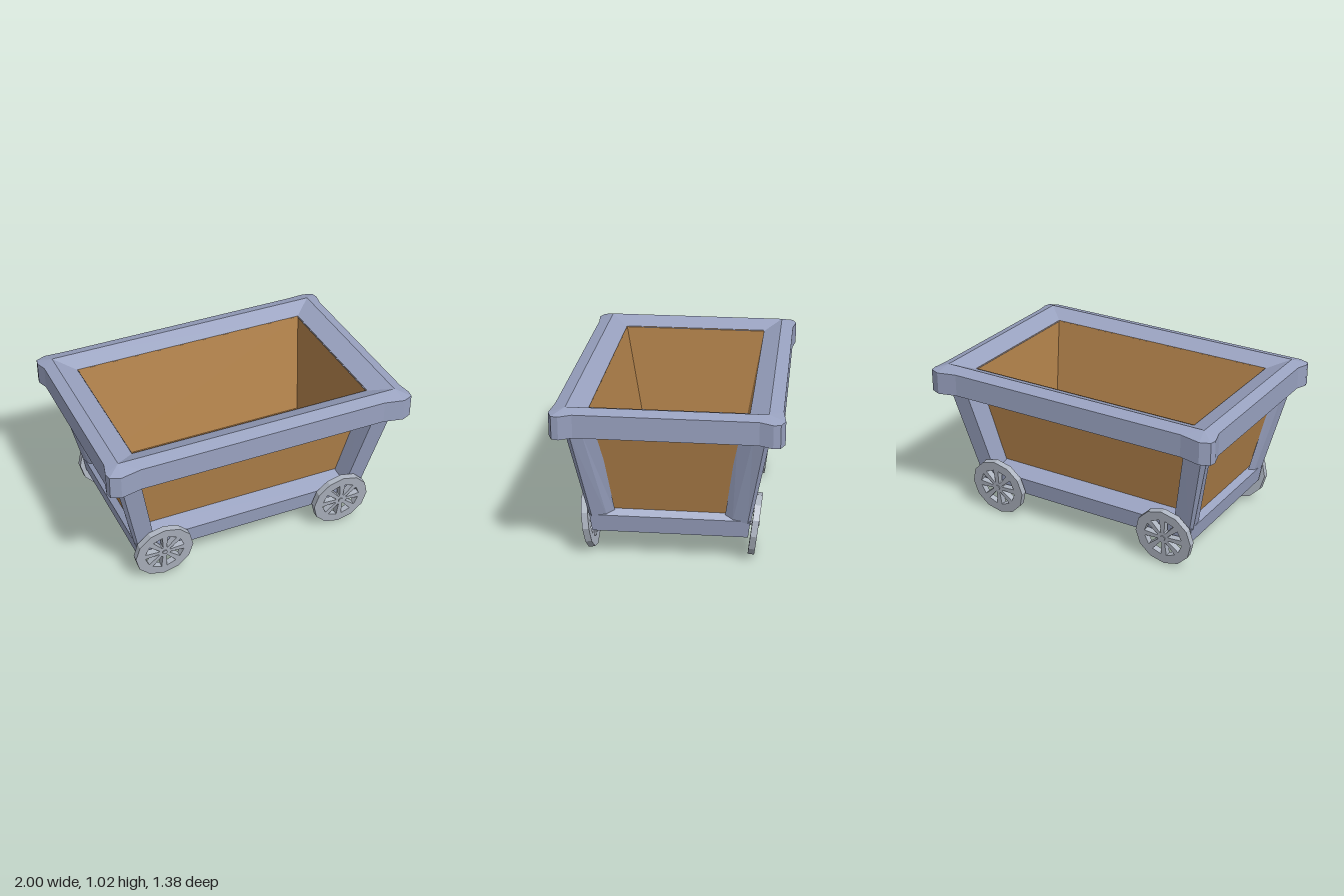
import * as THREE from 'three';

const metal = new THREE.MeshStandardMaterial({ color: 0x99a2c0, flatShading: true, side: THREE.DoubleSide });
const wood = new THREE.MeshStandardMaterial({ color: 0xb5844c, flatShading: true, side: THREE.DoubleSide });
const steel = new THREE.MeshStandardMaterial({ color: 0xadb4c0, flatShading: true });

function mesh(name, geometry, material) {
  const m = new THREE.Mesh(geometry, material);
  m.name = name;
  return m;
}

// Skin a list of equal-length point loops, optionally joining last to first
function loft(rings, closed = false) {
  const out = [];
  const n = rings[0].length;
  const last = closed ? rings.length : rings.length - 1;
  for (let i = 0; i < last; i++) {
    const lo = rings[i], hi = rings[(i + 1) % rings.length];
    for (let j = 0; j < n; j++) {
      const k = (j + 1) % n;
      out.push(...lo[j], ...hi[j], ...hi[k], ...lo[j], ...hi[k], ...lo[k]);
    }
  }
  const g = new THREE.BufferGeometry();
  g.setAttribute('position', new THREE.Float32BufferAttribute(out, 3));
  g.computeVertexNormals();
  return g;
}

// Mirror a corner outline into one quadrant, keeping its winding
function quadrant(pts, sx, sz) {
  const p = pts.map(([x, y, z]) => [x * sx, y, z * sz]);
  return sx * sz > 0 ? p : p.reverse();
}

// Rectangular loop at height y; k > 0 gives swollen, clipped, slightly drooping corners
function ring(hx, hz, y, k = 0) {
  const low = y - 0.008 * k;
  const corner = [
    [hx, y, hz - 0.13 * k], [hx + 0.02 * k, low, hz - 0.05 * k], [hx + 0.012 * k, low, hz - 0.008 * k],
    [hx - 0.05 * k, low, hz + 0.018 * k], [hx - 0.18 * k, y, hz],
  ];
  return [[1, 1], [-1, 1], [-1, -1], [1, -1]].flatMap(([sx, sz]) => quadrant(corner, sx, sz));
}

// Tapered corner post with bevelled outer edges
function post(sx, sz) {
  const foot = [[0.755, 0.33], [0.78, 0.38], [0.793, 0.472], [0.778, 0.49], [0.665, 0.487], [0.642, 0.366], [0.752, 0.366]];
  const head = [[0.882, 0.41], [0.915, 0.5], [0.93, 0.572], [0.905, 0.6], [0.785, 0.597], [0.758, 0.464], [0.86, 0.464]];
  const level = (pts, y) => quadrant(pts.map(([x, z]) => [x, y, z]), sx, sz);
  return loft([level(foot, 0.275), level(head, 0.868)]);
}

// Twelve-sided disc with eight wedge openings and a small hub
function wheel() {
  const g = new THREE.Group();
  const shape = new THREE.Shape();
  for (let i = 0; i < 12; i++) {
    const a = (i * Math.PI) / 6;
    shape[i ? 'lineTo' : 'moveTo'](0.192 * Math.cos(a), 0.192 * Math.sin(a));
  }
  shape.closePath();
  for (let i = 0; i < 8; i++) {
    const a = ((i + 0.5) * Math.PI) / 4;
    const at = (r, d) => new THREE.Vector2(r * Math.cos(a + d), r * Math.sin(a + d));
    shape.holes.push(new THREE.Path([at(0.04, -0.1), at(0.13, -0.25), at(0.13, 0.25), at(0.04, 0.1)]));
  }
  const disc = new THREE.ExtrudeGeometry(shape, { depth: 0.04, bevelEnabled: false });
  disc.translate(0, 0, -0.02);
  g.add(mesh('wheelDisc', disc, steel));
  const hub = new THREE.CylinderGeometry(0.017, 0.017, 0.075, 8);
  hub.rotateX(Math.PI / 2);
  hub.translate(0, 0, -0.012);
  g.add(mesh('axleHub', hub, steel));
  return g;
}

export function createModel() {
  const cart = new THREE.Group();
  cart.name = 'cart';

  // Rim: upright band, bevelled top, slope down into the opening
  cart.add(mesh('rim', loft([
    ring(0.98, 0.67, 0.86, 1), ring(0.98, 0.67, 1.003, 1),
    ring(0.91, 0.59, 1.026), ring(0.778, 0.473, 0.975),
    ring(0.9, 0.6, 0.97), ring(0.92, 0.615, 0.86),
  ], true), metal));

  // Base frame with sloping ledge and an open underside
  cart.add(mesh('baseFrame', loft([
    ring(0.775, 0.475, 0.173), ring(0.79, 0.488, 0.285),
    ring(0.752, 0.366, 0.322), ring(0.752, 0.366, 0.286),
    ring(0.68, 0.355, 0.286), ring(0.68, 0.365, 0.175),
  ], true), metal));

  // Wooden tub: inner lining, leaning outer panels with a lip under the rim, floor
  cart.add(mesh('tubLining', loft([ring(0.745, 0.36, 0.3), ring(0.783, 0.474, 0.98)]), wood));
  cart.add(mesh('tubPanels', loft([
    ring(0.75, 0.364, 0.3), ring(0.885, 0.458, 0.858), ring(0.922, 0.617, 0.858),
  ]), wood));
  const floor = mesh('tubFloor', new THREE.BoxGeometry(1.49, 0.014, 0.72), wood);
  floor.position.y = 0.296;
  cart.add(floor);

  for (const sz of [1, -1]) {
    for (const sx of [1, -1]) {
      cart.add(mesh('cornerPost', post(sx, sz), metal));
      // Wheels lean outwards at the top
      const w = wheel();
      w.name = 'wheel';
      w.position.set(sx * 0.617, 0.195, sz * 0.51);
      w.rotation.set(sz * 0.115, sz > 0 ? 0 : Math.PI, 0);
      cart.add(w);
    }
  }
  return cart;
}
